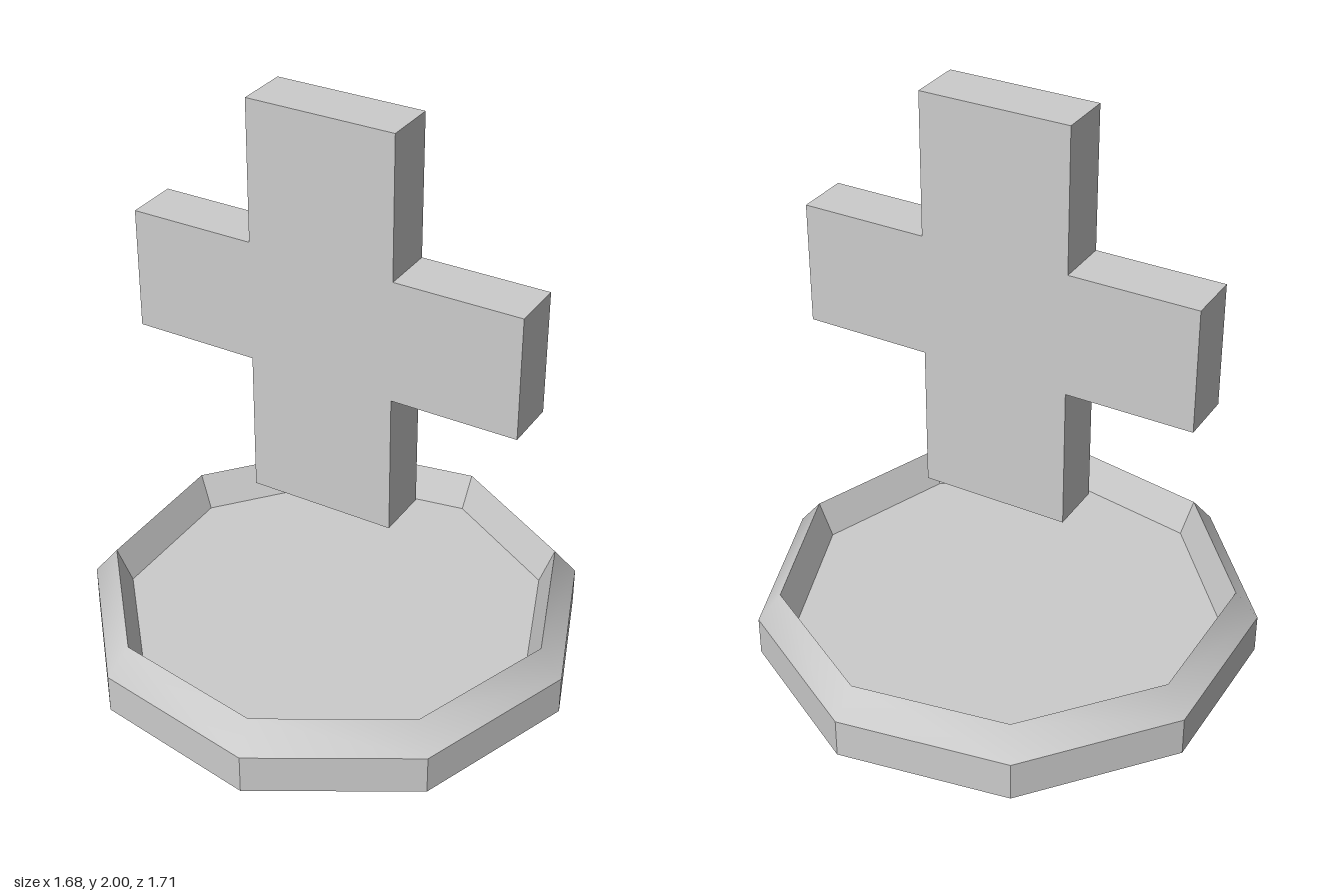
import * as THREE from 'three';
import { toCreasedNormals } from 'three/addons/utils/BufferGeometryUtils.js';

const CENTER_X = -0.027;

export function createModel() {
  const model = new THREE.Group();
  const material = new THREE.MeshStandardMaterial({ color: 0xcccccc });

  // Nine-sided dish: straight foot, bevelled rim, sloping inner wall, flat floor
  const profile = [
    [0, 0], [0.867, 0], [0.867, 0.14], [0.787, 0.237], [0.735, 0.115], [0, 0.115],
  ].map(([r, y]) => new THREE.Vector2(r, y));
  const dishGeometry = new THREE.LatheGeometry(profile, 9, Math.PI / 2);
  const dish = new THREE.Mesh(toCreasedNormals(dishGeometry, 0.6), material);
  dish.name = 'dish';
  dish.position.x = CENTER_X;
  model.add(dish);

  // Floating cross: one extruded outline
  const post = 0.258, arm = 0.697, depth = 0.186;
  const bottom = 0.59, armBottom = 1.085, armTop = 1.51, top = 2;
  const rightSide = [
    [post, bottom], [post, armBottom], [arm, armBottom],
    [arm, armTop], [post, armTop], [post, top],
  ];
  const leftSide = rightSide.map(([x, y]) => [-x, y]).reverse();
  const outline = new THREE.Shape(
    [...rightSide, ...leftSide].map(([x, y]) => new THREE.Vector2(x, y)),
  );
  const crossGeometry = new THREE.ExtrudeGeometry(outline, { depth, bevelEnabled: false });
  const cross = new THREE.Mesh(crossGeometry, material);
  cross.name = 'cross';
  cross.position.set(CENTER_X, 0, -depth / 2 - 0.001);
  model.add(cross);

  return model;
}
